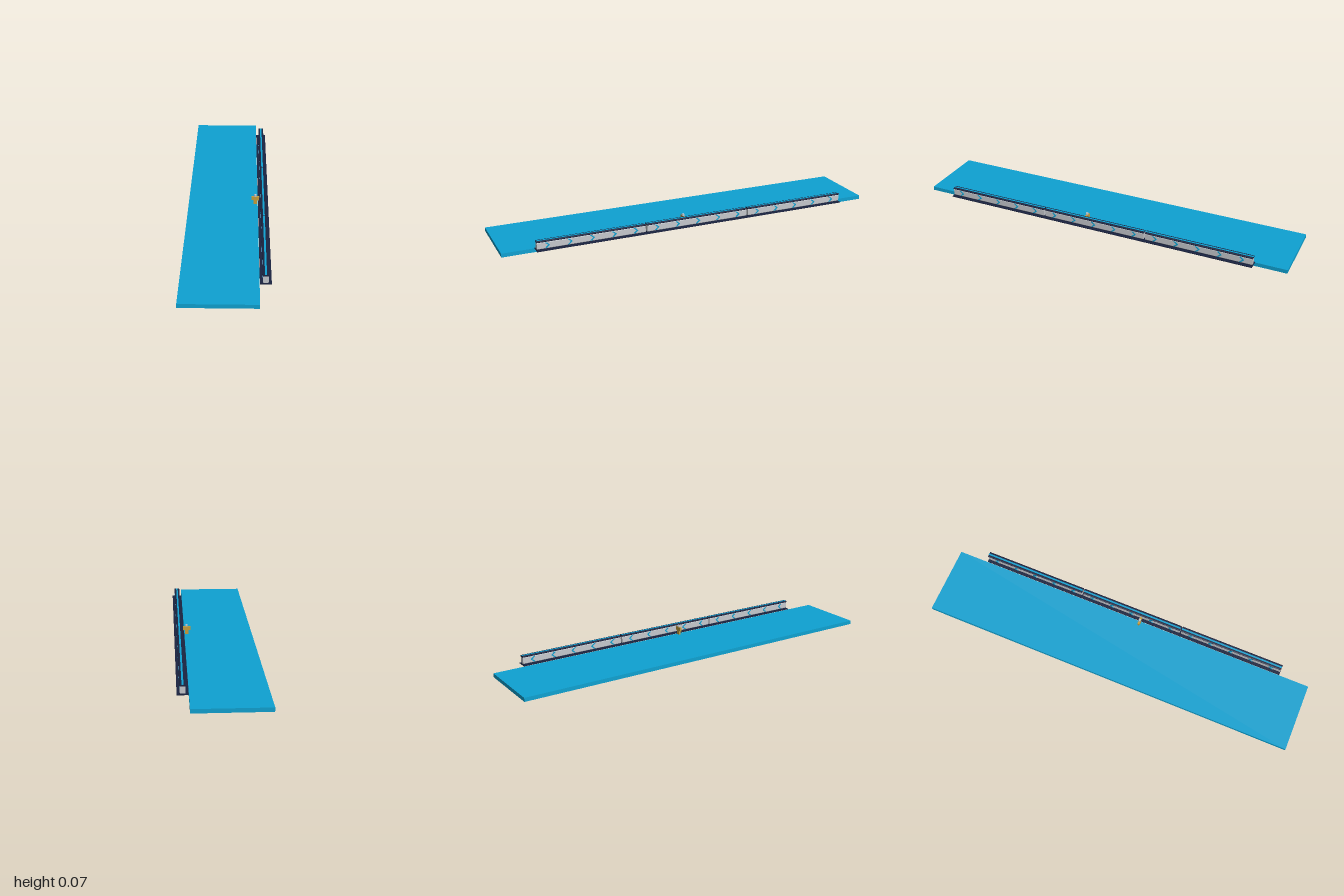
import * as THREE from 'three';

const blue = new THREE.MeshStandardMaterial({ color: 0x0ea2d2, name: 'bright blue' });
const navy = new THREE.MeshStandardMaterial({ color: 0x1a2340, name: 'dark navy' });
const grey = new THREE.MeshStandardMaterial({ color: 0xc6c9ce, name: 'light grey' });
const gold = new THREE.MeshStandardMaterial({ color: 0xc9a03c, name: 'gold' });

// Box given by its lower and upper limits on each axis
function box(parent, name, mat, [x0, x1], [y0, y1], [z0, z1]) {
  const mesh = new THREE.Mesh(new THREE.BoxGeometry(x1 - x0, y1 - y0, z1 - z0), mat);
  mesh.position.set((x0 + x1) / 2, (y0 + y1) / 2, (z0 + z1) / 2);
  mesh.name = name;
  parent.add(mesh);
  return mesh;
}

// Cross-section in x and y, extruded along z and centred on z = 0
function prism(parent, name, mat, points, length) {
  const shape = new THREE.Shape(points.map(([x, y]) => new THREE.Vector2(x, y)));
  const geo = new THREE.ExtrudeGeometry(shape, { depth: length, bevelEnabled: false });
  geo.translate(0, 0, -length / 2);
  const mesh = new THREE.Mesh(geo, mat);
  mesh.name = name;
  parent.add(mesh);
  return mesh;
}

// Arrow mark in the y-z plane, pointing to -z
function chevronGeometry() {
  const shape = new THREE.Shape([
    [-0.013, -0.014], [-0.004, -0.014], [0.012, 0], [-0.004, 0.014],
    [-0.013, 0.014], [0.003, 0],
  ].map(([x, y]) => new THREE.Vector2(x, y)));
  const geo = new THREE.ExtrudeGeometry(shape, { depth: 0.003, bevelEnabled: false });
  geo.translate(0, 0, -0.0015);
  return geo.rotateY(Math.PI / 2);
}

// One carriage, centred on x = 0 and z = 0
function makeCarriage() {
  const car = new THREE.Group();
  const length = 0.554, half = length / 2;
  box(car, 'skirt', navy, [-0.0125, 0.0125], [0.0245, 0.0275], [-half, half]);
  prism(car, 'body', grey, [
    [-0.011, 0.027], [0.011, 0.027], [0.0125, 0.03], [0.0125, 0.058],
    [0.011, 0.062], [-0.011, 0.062], [-0.0125, 0.058], [-0.0125, 0.03],
  ], length - 0.002);
  prism(car, 'roof', navy, [
    [-0.0125, 0.0612], [0.0125, 0.0612], [0.0145, 0.063], [0.0145, 0.0665],
    [0.011, 0.0685], [-0.011, 0.0685], [-0.0145, 0.0665], [-0.0145, 0.063],
  ], length);
  box(car, 'roofStripe', blue, [-0.0045, 0.0045], [0.0683, 0.0692], [-half, half]);

  // Arrow marks on both sides
  const geo = chevronGeometry();
  for (const side of [-1, 1]) {
    for (let i = -2; i <= 2; i++) {
      const mark = new THREE.Mesh(geo, blue);
      mark.position.set(side * 0.0132, 0.0445, i * 0.112);
      mark.name = 'arrowMark';
      car.add(mark);
    }
  }
  return car;
}

export function createModel() {
  const model = new THREE.Group();
  model.name = 'stationWithTrain';

  box(model, 'platform', blue, [-0.207, 0.152], [0, 0.02], [-1, 1]);
  box(model, 'track', navy, [0.153, 0.206], [0.0205, 0.0245], [-0.84, 0.84]);

  // Train of three carriages
  const train = new THREE.Group();
  train.name = 'train';
  for (let i = -1; i <= 1; i++) {
    const car = makeCarriage();
    car.name = 'carriage';
    car.position.set(0.1795, 0, i * 0.561);
    train.add(car);
  }
  model.add(train);

  // Waiting figure
  const figure = new THREE.Group();
  figure.name = 'figure';
  box(figure, 'legs', gold, [-0.0095, 0.0095], [0.02, 0.041], [-0.005, 0.005]);
  box(figure, 'torso', gold, [-0.0095, 0.0095], [0.041, 0.061], [-0.005, 0.005]);
  for (const s of [-1, 1]) {
    const x = [s * 0.0095, s * 0.02].sort((a, b) => a - b);
    box(figure, 'arm', gold, x, [0.041, 0.061], [-0.005, 0.005]);
  }
  box(figure, 'head', grey, [-0.006, 0.006], [0.061, 0.0715], [-0.005, 0.005]);
  figure.position.set(0.1395, 0, 0.06);
  model.add(figure);

  return model;
}
